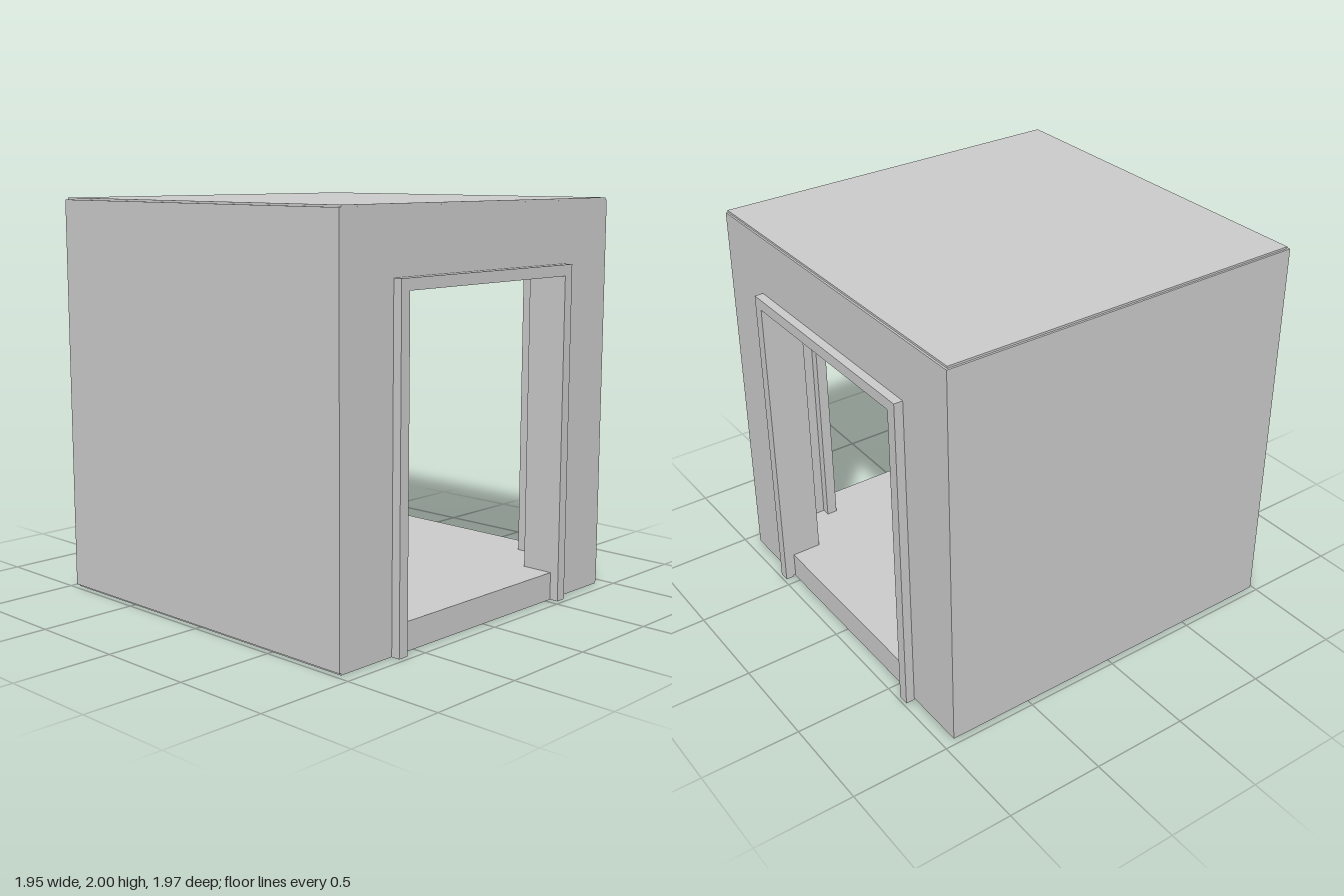
import * as THREE from 'three';

const X0 = -0.975, X1 = 0.93, Z0 = -0.94, Z1 = 0.98; // outer faces of the walls
const WALL = 0.12, SLAB = 0.14, LIP = 0.01;
const OPEN_W = 1.13, OPEN_H = 1.63; // doorway
const TRIM = 0.055, TRIM_OUT = 0.045; // door frame width and projection

const material = new THREE.MeshStandardMaterial({ color: 0xcccccc });

function addBox(parent, name, x0, x1, y0, y1, z0, z1) {
  const mesh = new THREE.Mesh(new THREE.BoxGeometry(x1 - x0, y1 - y0, z1 - z0), material);
  mesh.position.set((x0 + x1) / 2, (y0 + y1) / 2, (z0 + z1) / 2);
  mesh.name = name;
  parent.add(mesh);
}

// Upside-down U: a panel with an opening that reaches its lower edge
function addArch(parent, name, x0, x1, y0, y1, centre, zBack, depth) {
  const a = centre - OPEN_W / 2, b = centre + OPEN_W / 2;
  const points = [[x0, y0], [a, y0], [a, OPEN_H], [b, OPEN_H], [b, y0], [x1, y0], [x1, y1], [x0, y1]];
  const shape = new THREE.Shape(points.map(([x, y]) => new THREE.Vector2(x, y)));
  const geometry = new THREE.ExtrudeGeometry(shape, { depth, bevelEnabled: false });
  const mesh = new THREE.Mesh(geometry, material);
  mesh.position.z = zBack;
  mesh.name = name;
  parent.add(mesh);
}

// Wall with a doorway and a frame on both sides; local +z points outdoors
function doorWall(name, x0, x1, centre, outer) {
  const group = new THREE.Group();
  group.name = name;
  const inner = outer - WALL;
  const f0 = centre - OPEN_W / 2 - TRIM, f1 = centre + OPEN_W / 2 + TRIM;
  addArch(group, 'wallPanel', x0, x1, LIP, 2 - LIP, centre, inner, WALL);
  addArch(group, 'outerDoorFrame', f0, f1, 0, OPEN_H + TRIM, centre, outer, TRIM_OUT);
  addArch(group, 'innerDoorFrame', f0, f1, SLAB, OPEN_H + TRIM, centre, inner - TRIM_OUT, TRIM_OUT);
  return group;
}

export function createModel() {
  const room = new THREE.Group();
  room.name = 'room';

  // Floor and roof slabs, set in slightly from the solid walls
  for (const [name, y] of [['floor', 0], ['roof', 2 - SLAB]]) {
    addBox(room, name, X0 + LIP, X1 - 0.0005, y, y + SLAB, Z0 + LIP, Z1 - LIP);
  }

  // Solid walls
  addBox(room, 'frontWall', X0, X1 - WALL, LIP, 2 - LIP, Z1 - WALL, Z1);
  addBox(room, 'rightWall', X0, X0 + WALL, LIP, 2 - LIP, Z0 + WALL, Z1 - WALL);

  // Walls with doorways
  const leftWall = doorWall('leftDoorWall', -Z1, -Z0, -0.027, X1);
  leftWall.rotation.y = Math.PI / 2;
  const backWall = doorWall('backDoorWall', -(X1 - WALL), -X0, 0.018, -Z0);
  backWall.rotation.y = Math.PI;
  room.add(leftWall, backWall);

  return room;
}
